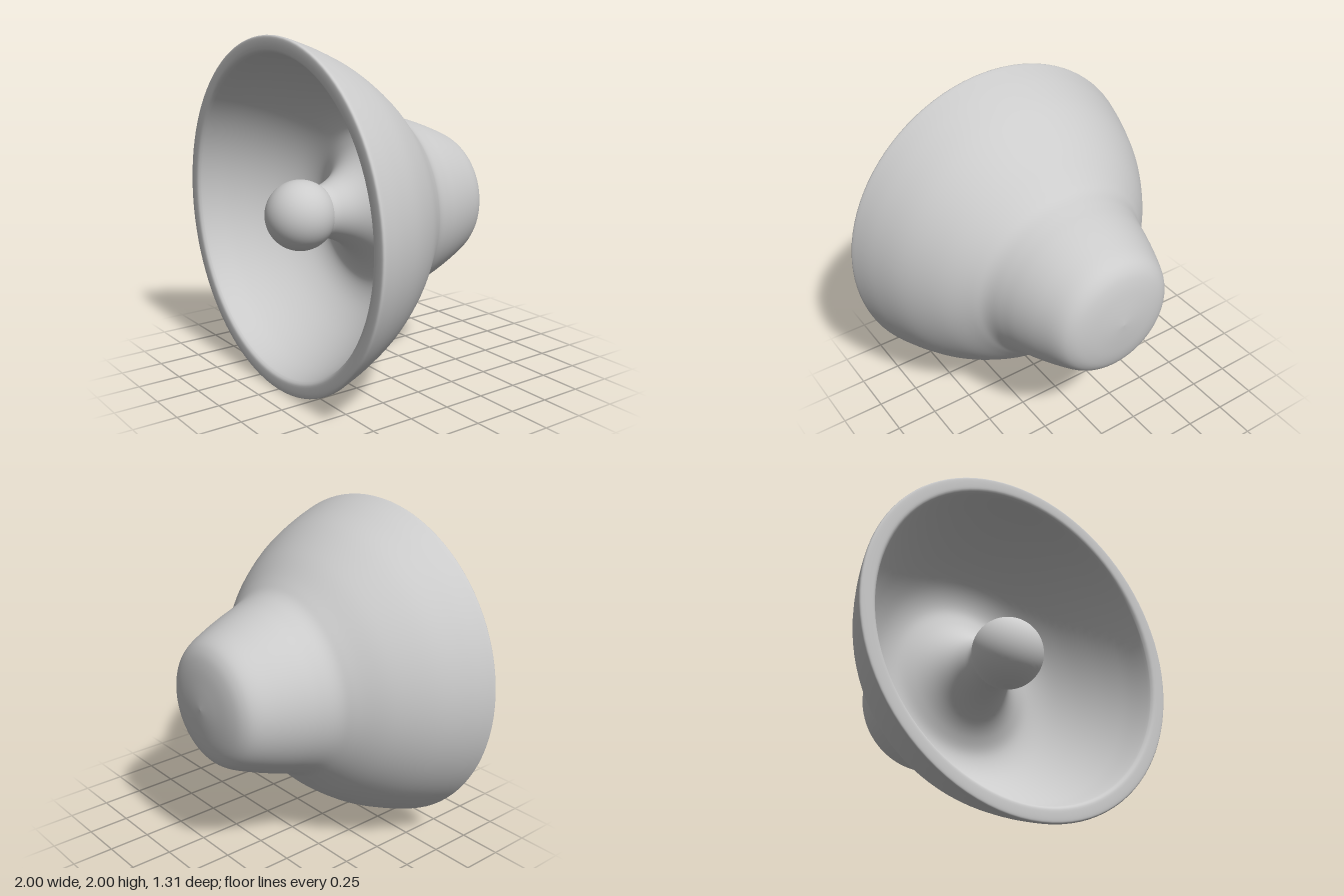
import * as THREE from 'three';

const material = new THREE.MeshStandardMaterial({ color: 0xcccccc, side: THREE.DoubleSide });

// Smooth curve through [radius, z] pairs
function smooth(pairs, steps) {
  return new THREE.SplineCurve(pairs.map(([r, z]) => new THREE.Vector2(r, z)))
    .getPoints(steps)
    .map((p) => p.setX(Math.max(p.x, 0)));
}

export function createModel() {
  const group = new THREE.Group();

  // Outside: rounded back cap, neck, flared bowl
  const outside = smooth([
    [0, -0.655], [0.12, -0.645], [0.24, -0.627], [0.32, -0.597], [0.375, -0.54],
    [0.43, -0.42], [0.475, -0.3], [0.508, -0.2], [0.545, -0.11], [0.605, -0.04],
    [0.735, 0.1], [0.86, 0.28], [0.945, 0.46], [0.995, 0.6],
  ], 70);

  // Rounded front lip
  const lip = smooth([
    [0.998, 0.612], [0.996, 0.622], [0.985, 0.628], [0.95, 0.629], [0.92, 0.625], [0.905, 0.607],
  ], 16);

  // Inside: bowl wall, floor and the flared stem that carries the ball
  const inside = smooth([
    [0.9, 0.59], [0.855, 0.45], [0.78, 0.3], [0.68, 0.16], [0.57, 0.06], [0.46, 0.02],
    [0.36, 0.045], [0.27, 0.105], [0.2, 0.19], [0.155, 0.29], [0.14, 0.37], [0, 0.38],
  ], 60);

  const bellGeometry = new THREE.LatheGeometry([...outside, ...lip, ...inside], 96);
  bellGeometry.rotateX(Math.PI / 2);
  const bell = new THREE.Mesh(bellGeometry, material);
  bell.name = 'bell';
  bell.position.y = 1;

  // Ball at the centre of the bowl
  const ball = new THREE.Mesh(new THREE.SphereGeometry(0.2, 48, 32), material);
  ball.name = 'centreBall';
  ball.position.set(0, 1, 0.455);

  group.add(bell, ball);
  return group;
}
